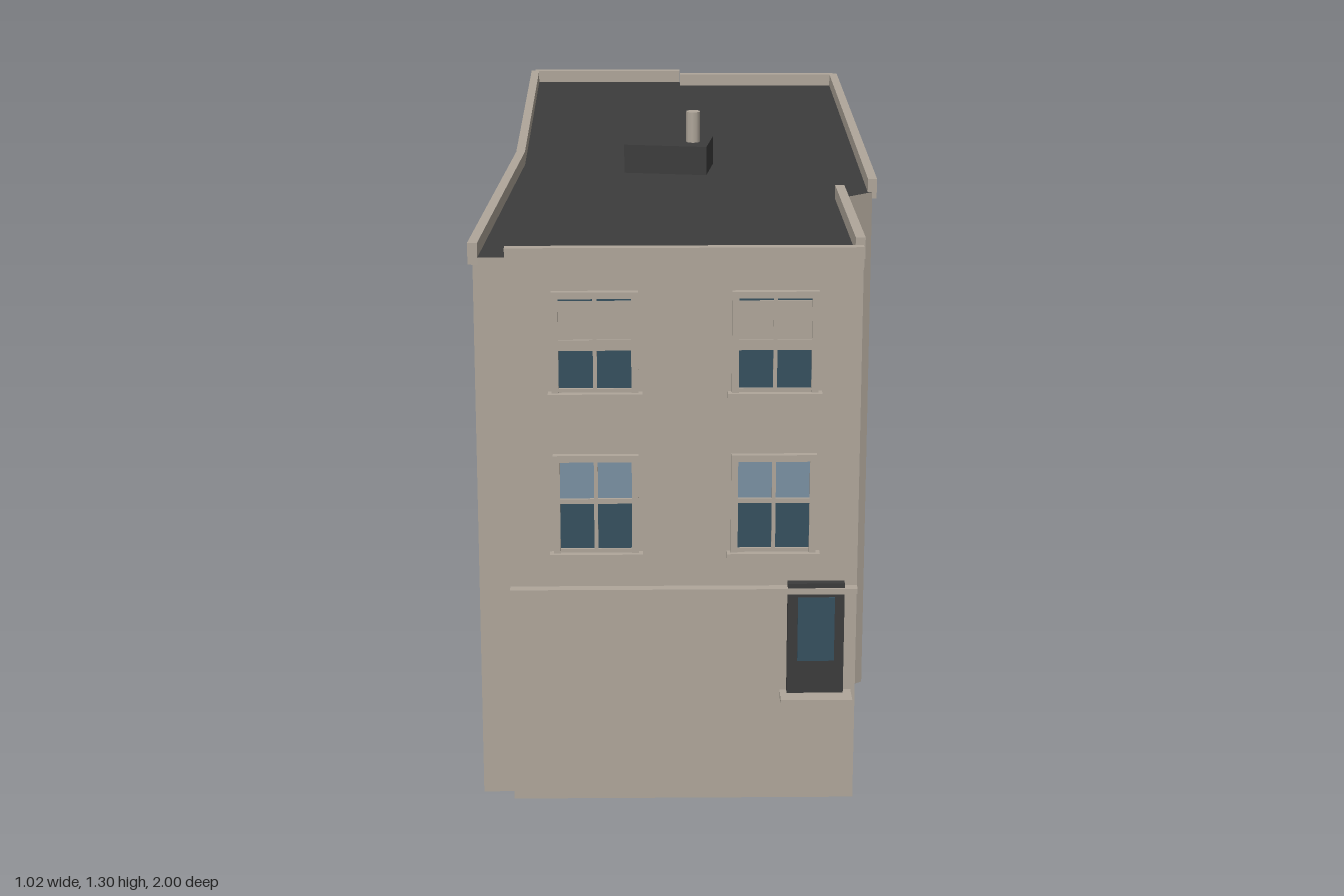
import * as THREE from 'three';

const paint = (name, color) => {
  const m = new THREE.MeshStandardMaterial({ color });
  m.name = name;
  return m;
};

export function createModel() {
  const stone = paint('stone', 0xb0a79b);
  const dark = paint('dark roofing', 0x3c3c3c);
  const glass = paint('window glass', 0x36505f);
  const paleGlass = paint('pale glass', 0x7b91a3);

  const model = new THREE.Group();
  model.name = 'building';

  // Footprint corners [x, z], starting at the front left of the facade
  const plan = [
    [-0.2, 0.985], [0.506, 0.877], [0.415, 0.34], [0.482, 0.27], [0.293, -0.985],
    [-0.11, -0.927], [-0.118, -0.98], [-0.5, -0.923], [-0.34, 0.1], [-0.27, 0.96], [-0.205, 0.95],
  ];
  const bodyH = 1.17;
  const shape = new THREE.Shape(plan.map(([x, z]) => new THREE.Vector2(x, -z)));
  const bodyGeo = new THREE.ExtrudeGeometry(shape, { depth: bodyH, bevelEnabled: false });
  bodyGeo.rotateX(-Math.PI / 2);
  const body = new THREE.Mesh(bodyGeo, [dark, stone]); // caps, sides
  body.name = 'wallsAndRoof';
  model.add(body);

  // Group on wall i: local x runs along the wall, local z points outward
  function wallGroup(i, name) {
    const [x0, z0] = plan[i];
    const [x1, z1] = plan[(i + 1) % plan.length];
    const g = new THREE.Group();
    g.name = name;
    g.position.set(x0, 0, z0);
    g.rotation.y = Math.atan2(z0 - z1, x1 - x0);
    g.userData.length = Math.hypot(x1 - x0, z1 - z0);
    model.add(g);
    return g;
  }

  // Box given by its extents along the wall, in height and in depth
  function slab(parent, name, mat, u0, u1, y0, y1, d0, d1) {
    const m = new THREE.Mesh(new THREE.BoxGeometry(u1 - u0, y1 - y0, d1 - d0), mat);
    m.position.set((u0 + u1) / 2, (y0 + y1) / 2, (d0 + d1) / 2);
    m.name = name;
    parent.add(m);
  }

  // Walls with a parapet, and the centres of their window columns
  const walls = [
    { i: 0, name: 'facade', cols: [] },
    { i: 1, name: 'rightFrontWall', cols: [0.31], start: 0.07 },
    { i: 3, name: 'rightRearWall', cols: [0.208, 0.635, 1.062] },
    { i: 4, name: 'backRightWall', cols: [0.21] },
    { i: 6, name: 'backLeftWall', cols: [0.185] },
    { i: 7, name: 'leftRearWall', cols: [0.312, 0.853] },
    { i: 8, name: 'leftFrontWall', cols: [0.172, 0.592] },
  ];
  const sills = [0.215, 0.56, 0.9];
  let facade;
  for (const { i, name, cols, start = 0 } of walls) {
    const g = wallGroup(i, name);
    if (i === 0) facade = g;
    slab(g, 'parapet', stone, start, g.userData.length, 1.155, 1.2, -0.01, 0.01);
    for (const u of cols)
      for (const y of sills) slab(g, 'sideWindow', glass, u - 0.076, u + 0.076, y, y + 0.2, -0.002, 0.003);
  }

  // Facade sash windows
  function sashWindow(u, y, blind) {
    const g = new THREE.Group();
    g.name = 'sashWindow';
    g.position.set(u, y, 0);
    facade.add(g);
    const w = 0.087, h = 0.21, t = 0.014;
    const mid = blind ? 0.092 : 0.11;
    slab(g, 'lowerPane', glass, -w + t, w - t, 0, mid, 0, 0.003);
    if (blind) {
      slab(g, 'upperPane', glass, -w + t, w - t, mid, h - t, 0, 0.003);
      slab(g, 'blind', stone, -w + t, w - t, mid, h - t - 0.006, 0, 0.005);
    } else {
      slab(g, 'upperPane', paleGlass, -w + t, w - t, mid, h - t, 0, 0.003);
    }
    for (const s of [-1, 1]) {
      const a = s * w, b = s * (w - t);
      slab(g, 'jamb', stone, Math.min(a, b), Math.max(a, b), 0, h, 0, 0.013);
    }
    slab(g, 'head', stone, -w, w, h - t, h, 0, 0.013);
    slab(g, 'bottomRail', stone, -w + t, w - t, 0, 0.008, 0, 0.008);
    slab(g, 'meetingRail', stone, -w + t, w - t, mid - 0.004, mid + (blind ? 0.018 : 0.006), 0, 0.009);
    slab(g, 'glazingBar', stone, -0.004, 0.004, 0, h - t, 0, 0.008);
    slab(g, 'sill', stone, -w - 0.008, w + 0.008, -0.013, 0, 0, 0.022);
  }
  for (const u of [0.178, 0.54]) {
    sashWindow(u, 0.557, false);
    sashWindow(u, 0.9, true);
  }

  // String course and the framed opening below it
  slab(facade, 'stringCourse', stone, 0, facade.userData.length, 0.468, 0.48, 0, 0.022);
  slab(facade, 'entranceFrame', dark, 0.571, 0.688, 0.246, 0.49, 0, 0.018);
  slab(facade, 'entranceGlass', glass, 0.592, 0.668, 0.32, 0.46, 0.017, 0.021);
  slab(facade, 'entranceSill', stone, 0.557, 0.705, 0.234, 0.247, 0, 0.055);

  // Rooftop box and vent pipe
  slab(model, 'roofBox', dark, -0.09, 0.098, bodyH, 1.235, 0.03, 0.152);
  const pipe = new THREE.Mesh(new THREE.CylinderGeometry(0.016, 0.016, 0.07, 10), stone);
  pipe.name = 'ventPipe';
  pipe.position.set(0.06, 1.27, 0.095);
  model.add(pipe);

  return model;
}
